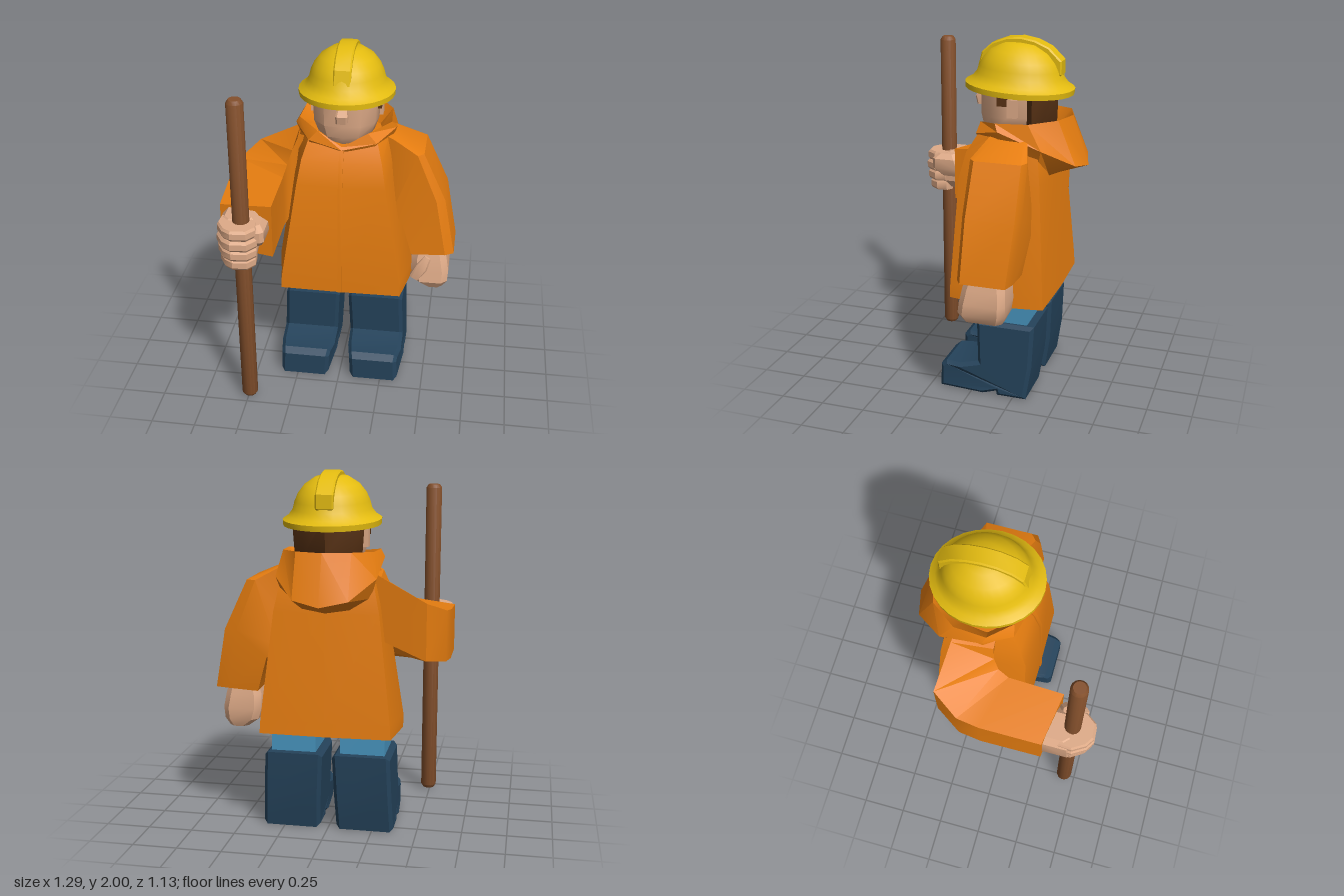
import * as THREE from 'three';
import { toCreasedNormals } from 'three/addons/utils/BufferGeometryUtils.js';

const mat = (name, color) => {
  const m = new THREE.MeshStandardMaterial({ color });
  m.name = name;
  return m;
};

// Closed skin through rings of [x, y, z] points, capped at both ends
function loft(rings, crease = 0.5) {
  const pos = [];
  let volume = 0;
  const tri = (a, b, c) => {
    pos.push(a, b, c);
    volume += a[0] * (b[1] * c[2] - b[2] * c[1]) - a[1] * (b[0] * c[2] - b[2] * c[0]) + a[2] * (b[0] * c[1] - b[1] * c[0]);
  };
  const n = rings[0].length;
  const middle = (r) => [0, 1, 2].map((k) => r.reduce((s, p) => s + p[k], 0) / n);
  const first = rings[0], last = rings[rings.length - 1];
  const c0 = middle(first), c1 = middle(last);
  for (let i = 0; i < n; i++) {
    const j = (i + 1) % n;
    for (let r = 0; r < rings.length - 1; r++) {
      const a = rings[r], b = rings[r + 1];
      tri(a[i], a[j], b[j]);
      tri(a[i], b[j], b[i]);
    }
    tri(c0, first[j], first[i]);
    tri(c1, last[i], last[j]);
  }
  // keep faces outward whichever way the rings run
  if (volume < 0) for (let t = 0; t < pos.length; t += 3) [pos[t + 1], pos[t + 2]] = [pos[t + 2], pos[t + 1]];
  const g = new THREE.BufferGeometry();
  g.setAttribute('position', new THREE.Float32BufferAttribute(pos.flat(), 3));
  return toCreasedNormals(g, crease);
}

// Completes a ring from its +x half, front centre to back centre
const mirrorRing = (half) => [...half, ...half.slice(1, -1).reverse().map(([x, y, z]) => [-x, y, z])];

// Level rectangle with cut corners
const cutRect = (x0, x1, y, z0, z1, c) => [
  [x0 + c, y, z0], [x1 - c, y, z0], [x1, y, z0 + c], [x1, y, z1 - c],
  [x1 - c, y, z1], [x0 + c, y, z1], [x0, y, z1 - c], [x0, y, z0 + c]];

// Side profile of [z, y] points, pushed out along x and centred
function sideExtrude(points, width, bevel) {
  const g = new THREE.ExtrudeGeometry(new THREE.Shape(points.map(([z, y]) => new THREE.Vector2(z, y))), {
    depth: width - 2 * bevel, bevelEnabled: bevel > 0, bevelSize: bevel, bevelOffset: -bevel, bevelThickness: bevel, bevelSegments: 1 });
  g.rotateY(-Math.PI / 2);
  g.translate(width / 2 - bevel, 0, 0);
  return g;
}

export function createModel() {
  const model = new THREE.Group();
  const coat = mat('orange coat', 0xe67d10), yellow = mat('yellow helmet', 0xe4bc10), skin = mat('skin', 0xdfab88);
  const hair = mat('brown hair', 0x5a3315), wood = mat('wood', 0x84502c);
  const denim = mat('blue trousers', 0x4894be), rubber = mat('navy boots', 0x25435b);
  const add = (name, geo, material, parent = model) => {
    const m = new THREE.Mesh(geo, material);
    m.name = name;
    parent.add(m);
    return m;
  };
  const box = (name, size, at, material, parent) => {
    const m = add(name, new THREE.BoxGeometry(...size), material, parent);
    m.position.set(...at);
    return m;
  };

  // Coat body
  add('coatBody', loft([
    [[0, 0.57, 0.13], [0.35, 0.57, 0.125], [0.4, 0.57, -0.15], [0.365, 0.57, -0.42], [0, 0.57, -0.43]],
    [[0, 0.65, 0.13], [0.345, 0.65, 0.123], [0.4, 0.65, -0.15], [0.36, 0.65, -0.415], [0, 0.65, -0.425]],
    [[0, 1.25, 0.115], [0.25, 1.25, 0.1], [0.3, 1.25, -0.13], [0.29, 1.25, -0.37], [0, 1.25, -0.39]],
    [[0, 1.39, 0.08], [0.225, 1.39, 0.065], [0.28, 1.39, -0.13], [0.26, 1.39, -0.35], [0, 1.39, -0.38]],
    [[0, 1.46, 0.045], [0.19, 1.5, 0], [0.25, 1.52, -0.13], [0.23, 1.48, -0.32], [0, 1.48, -0.36]],
  ].map(mirrorRing)), coat);

  // Closing flap down the front
  add('frontFlap', loft([[0.572, 0.13], [0.65, 0.13], [1.25, 0.115], [1.39, 0.08], [1.455, 0.048]].map(([y, z]) =>
    [[-0.012, y, z - 0.02], [0.012, y, z - 0.02], [0.012, y, z + 0.007], [-0.012, y, z + 0.007]])), coat);

  // Collar running back into the folded hood
  add('hood', loft([
    [[0, 1.42, 0], [0.11, 1.45, -0.02], [0.16, 1.46, -0.12], [0.16, 1.46, -0.26], [0.1, 1.46, -0.33], [0, 1.46, -0.36]],
    [[0, 1.47, 0.045], [0.14, 1.545, 0.01], [0.26, 1.57, -0.11], [0.25, 1.575, -0.29], [0.15, 1.585, -0.43], [0, 1.585, -0.475]],
    [[0, 1.455, 0.06], [0.19, 1.49, 0.02], [0.285, 1.53, -0.13], [0.275, 1.44, -0.37], [0.15, 1.34, -0.53], [0, 1.31, -0.567]],
    [[0, 1.42, 0.03], [0.17, 1.43, 0], [0.24, 1.42, -0.13], [0.24, 1.33, -0.34], [0.13, 1.27, -0.38], [0, 1.25, -0.39]],
  ].map(mirrorRing)), coat);

  // Hanging left sleeve: outer x/y, inner x/y, back and front z
  add('leftSleeve', loft([
    [0.23, 1.5, 0.2, 1.15, -0.29, -0.08], [0.29, 1.48, 0.22, 1.1, -0.295, -0.07], [0.45, 1.41, 0.28, 1.05, -0.335, -0.025],
    [0.58, 1.13, 0.34, 0.98, -0.34, -0.02], [0.645, 0.79, 0.4, 0.78, -0.31, -0.01],
  ].map(([ox, oy, ix, iy, zb, zf]) => [
    [ox, oy, zb + 0.02], [ox, oy, zf - 0.03], [ox * 0.8 + ix * 0.2, oy, zf], [ix, iy, zf], [ix, iy, zb], [ox * 0.7 + ix * 0.3, oy, zb]])), coat);

  // Bent right sleeve: outer x/z, inner x/z, outer top, inner top, bottom
  add('rightSleeve', loft([
    [-0.22, -0.29, -0.22, -0.07, 1.48, 1.48, 1.15], [-0.29, -0.3, -0.27, -0.07, 1.44, 1.45, 1.08],
    [-0.54, -0.33, -0.3, -0.06, 1.31, 1.38, 0.98], [-0.635, -0.18, -0.325, -0.03, 1.25, 1.3, 0.95],
    [-0.65, -0.05, -0.34, 0.03, 1.235, 1.25, 0.94], [-0.642, 0.295, -0.345, 0.343, 1.2, 1.23, 0.915],
  ].map(([ox, oz, ix, iz, ot, it, b]) => [[ox, b + 0.015, oz], [ox, ot, oz], [ix, it, iz], [ix, b, iz]])), coat);

  // Head: half width, front z, back z at each height
  const headRing = ([y, w, zf, zb]) => mirrorRing([[0, y, zf], [w * 0.55, y, zf - 0.015], [w * 0.92, y, zf - 0.09],
    [w, y, (zf + zb) / 2], [w * 0.7, y, zb + 0.05], [0, y, zb]]);
  add('head', loft([[1.4, 0.1, -0.05, -0.27], [1.465, 0.11, 0, -0.28], [1.51, 0.16, 0.02, -0.31],
    [1.58, 0.185, 0.032, -0.33], [1.78, 0.195, 0.032, -0.33]].map(headRing), 0.7), skin);
  add('nose', loft([cutRect(-0.032, 0.032, 1.615, 0, 0.068, 0.01), cutRect(-0.034, 0.034, 1.66, 0, 0.078, 0.01),
    cutRect(-0.026, 0.026, 1.7, 0, 0.05, 0.01)]), skin);
  add('hair', loft([[1.5, 0.15, -0.2, -0.36], [1.55, 0.185, -0.2, -0.385], [1.76, 0.2, -0.2, -0.392]].map(headRing), 0.7), hair);
  for (const s of [1, -1]) {
    box('sideburn', [0.03, 0.12, 0.06], [s * 0.186, 1.71, -0.13], hair);
    box('ear', [0.03, 0.1, 0.055], [s * 0.19, 1.64, -0.185], skin);
  }

  // Helmet, tipped slightly back
  const helmet = new THREE.Group();
  helmet.name = 'helmet';
  helmet.position.set(0, 1.72, -0.17);
  helmet.rotation.x = -0.055;
  model.add(helmet);
  const profile = [[0, 0], [0.25, -0.005], [0.268, -0.01], [0.27, 0.02], [0.24, 0.04], [0.215, 0.075], [0.205, 0.115],
    [0.185, 0.16], [0.15, 0.205], [0.09, 0.245], [0, 0.26]];
  const shell = new THREE.LatheGeometry(profile.map(([r, y]) => new THREE.Vector2(r, y)), 28);
  shell.scale(1, 1, 1.13);
  add('helmetShell', toCreasedNormals(shell, 0.7), yellow, helmet);
  add('helmetRidge', toCreasedNormals(sideExtrude([[0.2, 0.06], [0.232, 0.1], [0.215, 0.18], [0.16, 0.235], [0.08, 0.27], [0, 0.28],
    [-0.08, 0.27], [-0.16, 0.24], [-0.235, 0.175], [-0.24, 0.1], [-0.2, 0.06]], 0.098, 0.008), 0.4), yellow, helmet);

  // Trousers and boots
  const bootProfile = [[-0.03, 0.445], [-0.04, 0.195], [0.07, 0.165], [0.155, 0.165], [0.19, 0.135], [0.19, 0],
    [-0.07, 0], [-0.15, 0.025], [-0.155, 0], [-0.325, 0], [-0.355, 0.2], [-0.365, 0.445]];
  for (const s of [1, -1]) {
    box('trouserLeg', [0.25, 0.3, 0.25], [s * 0.195, 0.56, -0.195], denim);
    const g = sideExtrude(bootProfile, 0.325, 0.02);
    const p = g.attributes.position;
    for (let i = 0; i < p.count; i++) {
      // splay outward toward the sole and narrow the toe
      const y = p.getY(i), toe = Math.max(0, p.getZ(i) - 0.06);
      p.setX(i, s * 0.19 + p.getX(i) * (1 - toe * 1.1) + s * (0.44 - y) * 0.045);
    }
    add('boot', toCreasedNormals(g, 0.4), rubber);
  }

  // Left fist with curled thumb
  add('leftFist', loft([cutRect(0.43, 0.58, 0.84, -0.25, -0.06, 0.03), cutRect(0.4, 0.605, 0.74, -0.27, -0.03, 0.035),
    cutRect(0.4, 0.62, 0.66, -0.275, -0.015, 0.035), cutRect(0.42, 0.615, 0.595, -0.27, -0.005, 0.035),
    cutRect(0.48, 0.59, 0.55, -0.25, -0.03, 0.03)]), skin);
  const thumb = add('leftThumb', loft([cutRect(-0.03, 0.03, -0.09, -0.03, 0.02, 0.01), cutRect(-0.035, 0.035, 0, -0.03, 0.03, 0.01),
    cutRect(-0.02, 0.02, 0.07, -0.03, 0.01, 0.01)]), skin);
  thumb.position.set(0.465, 0.69, -0.03);
  thumb.rotation.z = -0.5;

  // Staff
  const staffProfile = [[0, 0.01], [0.033, 0.01], [0.046, 0.03], [0.046, 1.87], [0.033, 1.89], [0, 1.89]];
  const staff = add('staff', toCreasedNormals(new THREE.LatheGeometry(staffProfile.map(([r, y]) => new THREE.Vector2(r, y)), 14), 0.6), wood);
  staff.position.set(-0.493, 0, 0.432);

  // Right hand: palm, four stacked fingers round the staff, thumb
  add('rightPalm', loft([cutRect(-0.6, -0.45, 0.95, 0.26, 0.44, 0.03), cutRect(-0.625, -0.41, 1.0, 0.26, 0.47, 0.03),
    cutRect(-0.625, -0.4, 1.15, 0.26, 0.46, 0.03), cutRect(-0.59, -0.44, 1.19, 0.26, 0.43, 0.03)]), skin);
  const curl = [[-0.62, 0.38], [-0.625, 0.46], [-0.58, 0.535], [-0.53, 0.567], [-0.44, 0.56], [-0.395, 0.5], [-0.4, 0.43], [-0.45, 0.4]];
  [0.88, 0.96, 1, 0.96].forEach((k, i) => {
    const layer = (y, f) => curl.map(([x, z]) => [-0.5 + (x + 0.5) * f, y, 0.4 + (z - 0.4) * f]);
    const y = 0.935 + i * 0.062;
    add('rightFinger', loft([layer(y, k * 0.93), layer(y + 0.014, k), layer(y + 0.048, k), layer(y + 0.062, k * 0.93)]), skin);
  });
  add('rightThumb', loft([cutRect(-0.45, -0.385, 1.04, 0.3, 0.45, 0.02), cutRect(-0.45, -0.36, 1.09, 0.32, 0.5, 0.02),
    cutRect(-0.44, -0.36, 1.15, 0.34, 0.5, 0.02), cutRect(-0.44, -0.385, 1.18, 0.36, 0.47, 0.02)]), skin);

  return model;
}
